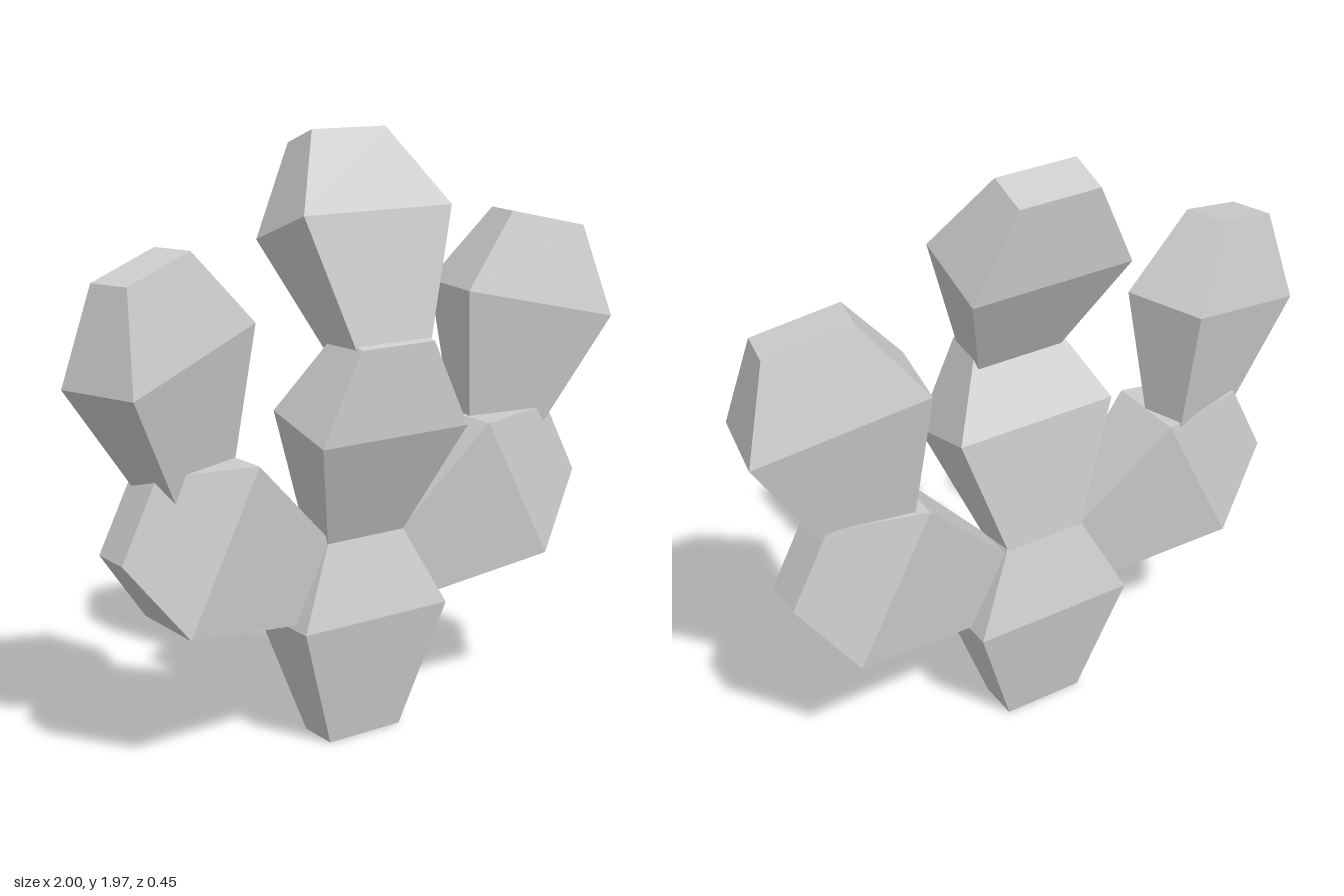
import * as THREE from 'three';

const LENGTH = 0.70, WAIST = 0.42; // pad length and height of its widest ring

// One faceted pad: a box with a widened middle ring, its base at the origin.
function padGeometry() {
  const geo = new THREE.BoxGeometry(0.28, 2, 0.14, 1, 2, 1);
  const pos = geo.attributes.position;
  for (let i = 0; i < pos.count; i++) {
    const y = pos.getY(i);
    const middle = Math.abs(y) < 0.01;
    const s = middle ? 2 : 1;
    pos.setXYZ(i, pos.getX(i) * s, middle ? WAIST : y > 0 ? LENGTH : 0, pos.getZ(i) * s);
  }
  geo.computeVertexNormals();
  return geo;
}

export function createModel() {
  const model = new THREE.Group();
  model.name = 'cactus';
  const geometry = padGeometry();
  const material = new THREE.MeshStandardMaterial({ color: 0xcccccc, flatShading: true });
  const rad = THREE.MathUtils.degToRad;

  // name, base centre, then pitch, yaw and roll in degrees
  const pads = [
    // trunk
    ['trunkBase', [0, 0, -0.02], 0, 0, 0],
    ['trunkMiddle', [0, 0.672, -0.025], 15, 0, 0],
    ['trunkTop', [0, 1.292, 0.137], -20, 0, 0],
    // left arm
    ['leftLowerArm', [0.215, 0.56, -0.02], 0, 0, -62],
    ['leftUpperArm', [0.614, 0.969, -0.039], 0, -11, -12.4],
    // right arm
    ['rightLowerArm', [-0.193, 0.557, -0.02], 0, 0, 63.5],
    ['rightUpperArm', [-0.597, 0.938, -0.042], 0, 18.4, 15.1],
  ];
  for (const [name, base, pitch, yaw, roll] of pads) {
    const pad = new THREE.Mesh(geometry, material);
    pad.name = name;
    pad.position.set(...base);
    pad.rotation.set(rad(pitch), rad(yaw), rad(roll), 'YXZ');
    model.add(pad);
  }
  return model;
}
